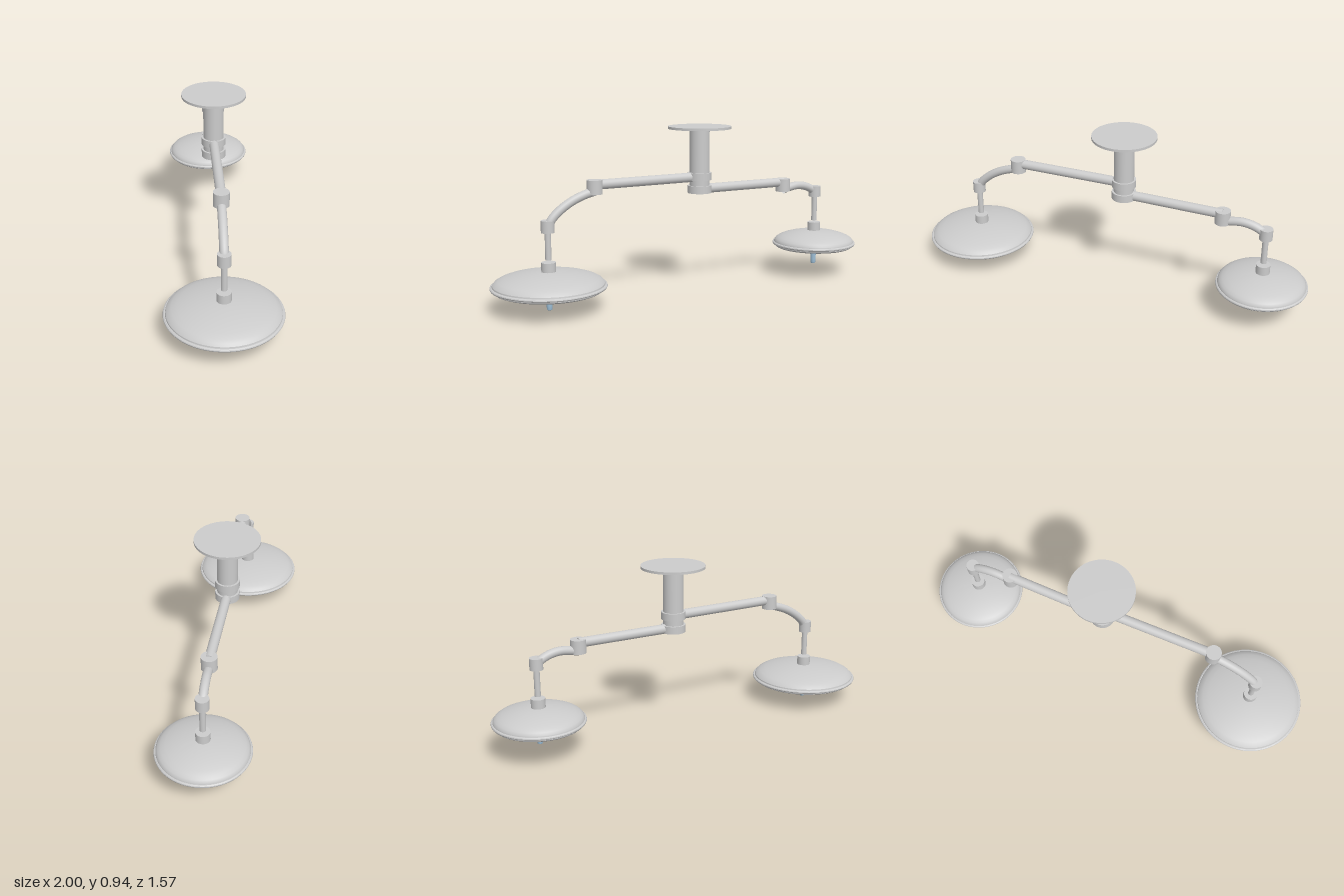
import * as THREE from 'three';
import { toCreasedNormals } from 'three/addons/utils/BufferGeometryUtils.js';

const grey = new THREE.MeshStandardMaterial({ color: 0xcccccc, side: THREE.DoubleSide });
const blue = new THREE.MeshStandardMaterial({ color: 0x9fc0d8 });

function add(parent, name, geometry, material = grey) {
  const mesh = new THREE.Mesh(geometry, material);
  mesh.name = name;
  parent.add(mesh);
  return mesh;
}

// Upright cylinder between two heights
function post(parent, name, x, z, r, y0, y1, material = grey, rBottom = r) {
  const mesh = add(parent, name, new THREE.CylinderGeometry(r, rBottom, y1 - y0, 40), material);
  mesh.position.set(x, (y0 + y1) / 2, z);
  return mesh;
}

// Lamp head: domed shell with grooved rim, flat lens underneath, grip below
function lampHead(parent, name, x, z, base, r) {
  const head = new THREE.Group();
  head.name = name;
  head.position.set(x, base, z);
  parent.add(head);

  const dome = [[0, 0.106], [0.2, 0.104], [0.42, 0.097], [0.6, 0.087], [0.76, 0.075],
    [0.86, 0.064], [0.92, 0.053], [0.955, 0.041], [0.96, 0.034]];
  const rim = [[0.975, 0.034], [0.995, 0.03], [1, 0.025], [0.99, 0.019], [0.95, 0.015],
    [0.95, 0.011], [0.93, 0.006], [0.89, 0.001], [0.86, 0], [0.85, 0.004], [0, 0.004]];
  const profile = [...dome, ...rim].reverse().map(([a, y]) => new THREE.Vector2(a * r, y));
  add(head, 'lampShell', toCreasedNormals(new THREE.LatheGeometry(profile, 72), 0.5));

  post(head, 'topCollar', 0, 0, 0.039, 0.095, 0.155);
  post(head, 'gripCollar', 0, 0, 0.036, -0.015, 0.01);
  const grip = [[0, -0.106], [0.011, -0.106], [0.015, -0.102], [0.016, -0.08], [0.018, -0.03], [0.018, -0.012]];
  add(head, 'grip', new THREE.LatheGeometry(grip.map(([a, y]) => new THREE.Vector2(a, y)), 24), blue);
}

// Arm assembly: straight beam, elbow joint, curved link, wrist joint, drop rod
function arm(parent, o) {
  const g = new THREE.Group();
  g.name = o.name;
  parent.add(g);
  const [px, pz] = o.pivot, [ex, ez] = o.elbow, [wx, wz] = o.wrist;

  const length = Math.hypot(ex - px, ez - pz);
  const beam = add(g, 'beam', new THREE.CylinderGeometry(0.027, 0.027, length, 32).rotateZ(Math.PI / 2));
  beam.position.set((px + ex) / 2, o.beamY, (pz + ez) / 2);
  beam.rotation.y = -Math.atan2(ez - pz, ex - px);

  post(g, 'elbowJoint', ex, ez, 0.043, ...o.elbowY);
  post(g, 'wristJoint', wx, wz, 0.036, ...o.wristY);
  post(g, 'dropRod', wx, wz, 0.0165, o.rodY, o.wristY[0] + 0.01);

  // Link path given as [fraction from elbow to wrist, height]
  const path = new THREE.CatmullRomCurve3(o.link.map(([t, y]) =>
    new THREE.Vector3(ex + (wx - ex) * t, y, ez + (wz - ez) * t)));
  add(g, 'curvedLink', new THREE.TubeGeometry(path, 32, 0.024, 20));
}

export function createModel() {
  const model = new THREE.Group();
  model.name = 'ceilingLamp';
  const pivot = [-0.077, -0.058];

  // Ceiling mount and column with two swivel rings
  post(model, 'ceilingPlate', ...pivot, 0.18, 0.932, 0.946).geometry =
    new THREE.CylinderGeometry(0.18, 0.18, 0.014, 64);
  post(model, 'column', ...pivot, 0.057, 0.57, 0.935);
  post(model, 'upperSwivel', ...pivot, 0.068, 0.64, 0.682);
  post(model, 'lowerSwivel', ...pivot, 0.068, 0.565, 0.608);

  const big = [0.686, 0.471], small = [-0.747, -0.531];
  arm(model, {
    name: 'leftArm', pivot, elbow: [0.463, 0.314], wrist: big, beamY: 0.657,
    elbowY: [0.607, 0.684], wristY: [0.422, 0.487], rodY: 0.275,
    link: [[0, 0.622], [0.22, 0.607], [0.5, 0.576], [0.75, 0.532], [0.92, 0.487], [0.98, 0.455]],
  });
  arm(model, {
    name: 'rightArm', pivot, elbow: [-0.545, -0.395], wrist: small, beamY: 0.587,
    elbowY: [0.532, 0.608], wristY: [0.481, 0.545], rodY: 0.332,
    link: [[0, 0.54], [0.2, 0.552], [0.45, 0.559], [0.7, 0.549], [0.9, 0.526], [0.98, 0.505]],
  });

  lampHead(model, 'largeLamp', ...big, 0.107, 0.312);
  lampHead(model, 'smallLamp', ...small, 0.166, 0.254);
  return model;
}
